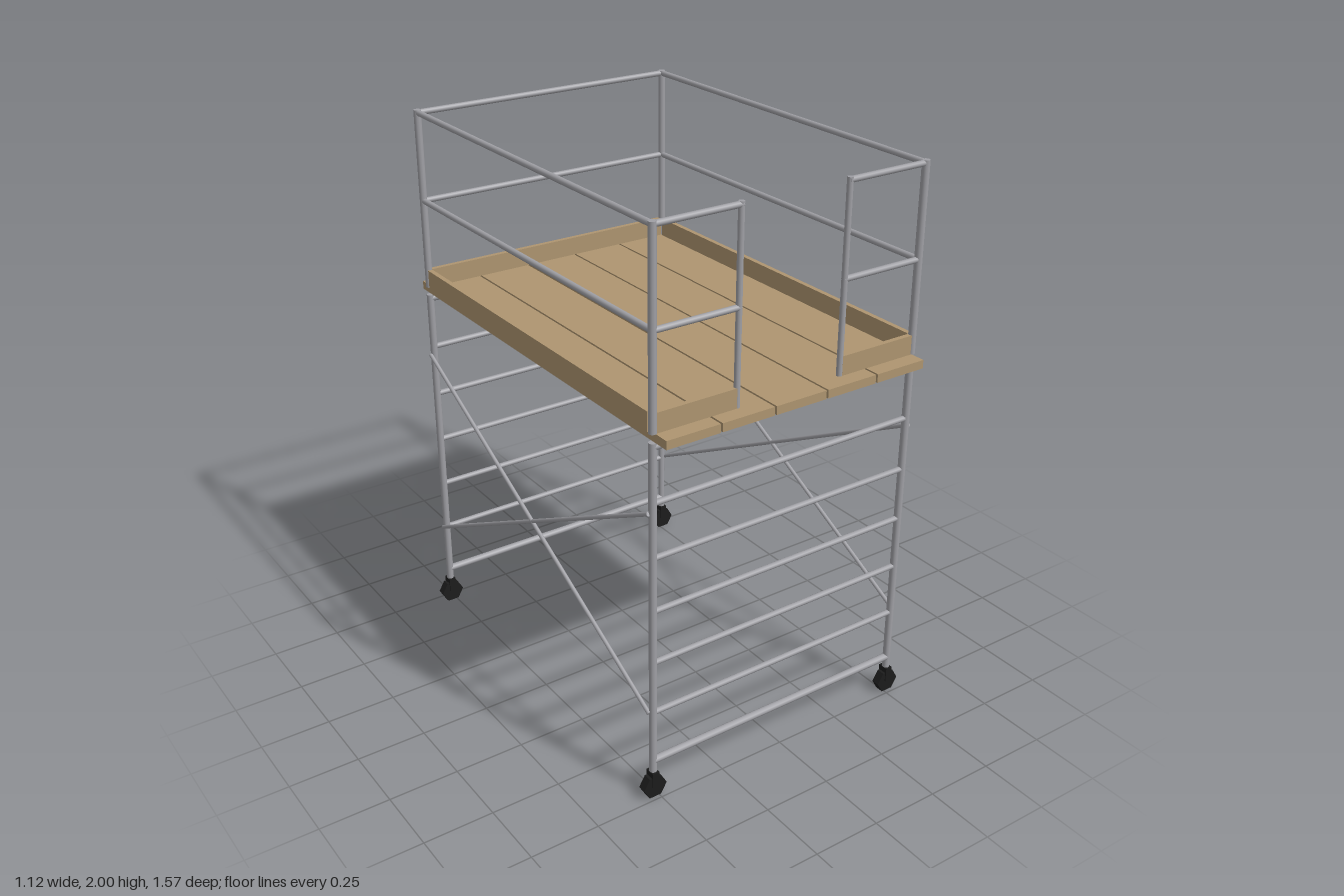
import * as THREE from 'three';

const steel = new THREE.MeshStandardMaterial({ color: 0xa0a0a5 });
steel.name = 'steel';
const wood = new THREE.MeshStandardMaterial({ color: 0xae9570 });
wood.name = 'wood';
const rubber = new THREE.MeshStandardMaterial({ color: 0x1c1c1c, flatShading: true });
rubber.name = 'black rubber';

const X = 0.515, Z = 0.72;          // corner positions of the frame
const DECK = 1.345, TOP = 1.99;     // deck surface and top rail heights

export function createModel() {
  const model = new THREE.Group();
  model.name = 'scaffoldTower';

  const add = (name, geometry, material, x, y, z) => {
    const mesh = new THREE.Mesh(geometry, material);
    mesh.name = name;
    mesh.position.set(x, y, z);
    model.add(mesh);
    return mesh;
  };
  const box = (name, w, h, d, material, x, y, z) =>
    add(name, new THREE.BoxGeometry(w, h, d), material, x, y, z);

  // Straight tube between two points
  const tube = (name, from, to, radius) => {
    const a = new THREE.Vector3(...from), b = new THREE.Vector3(...to);
    const dir = b.clone().sub(a);
    const mid = a.clone().add(b).multiplyScalar(0.5);
    const mesh = add(name, new THREE.CylinderGeometry(radius, radius, dir.length(), 10), steel, mid.x, mid.y, mid.z);
    mesh.quaternion.setFromUnitVectors(new THREE.Vector3(0, 1, 0), dir.normalize());
  };

  for (const sx of [-1, 1]) {
    for (const sz of [-1, 1]) {
      const x = sx * X, z = sz * Z;
      // Legs and corner guard posts
      tube('leg', [x, 0.09, z], [x, 1.315, z], 0.0135);
      tube('guardPost', [x, DECK, z], [x, 2, z], 0.0135);
      // Casters
      const wheel = add('casterWheel', new THREE.CylinderGeometry(0.045, 0.045, 0.03, 6), rubber, x, 0.039, z);
      wheel.rotation.set(Math.PI / 2, Math.PI / 6, 0);
      box('casterFork', 0.026, 0.055, 0.038, rubber, x, 0.07, z);
    }

    // Crossed side braces outside the legs
    for (const s of [-1, 1])
      tube('crossBrace', [sx * 0.53, 0.335, -s * Z], [sx * 0.53, 1.077, s * Z], 0.0075);

    // Side toe board, front entry post and short front toe board
    box('sideToeBoard', 0.018, 0.068, 1.41, wood, sx * X, DECK + 0.034, 0);
    tube('entryPost', [sx * 0.205, DECK, Z], [sx * 0.205, 2, Z], 0.0105);
    box('frontToeBoard', 0.295, 0.068, 0.018, wood, sx * 0.3575, DECK + 0.034, Z);

    // Guard rails on the sides and either side of the entry
    for (const y of [1.672, TOP]) {
      tube('sideRail', [sx * X, y, -Z], [sx * X, y, Z], 0.0105);
      tube('frontRail', [sx * X, y, Z], [sx * 0.2, y, Z], 0.0105);
    }
  }

  // Back guard rails and toe board
  for (const y of [1.672, TOP]) tube('backRail', [-X, y, -Z], [X, y, -Z], 0.0105);
  box('backToeBoard', 1.01, 0.068, 0.018, wood, 0, DECK + 0.034, -Z);

  // Ladder rungs on both ends
  for (const z of [-Z, Z])
    for (let i = 0; i < 7; i++) {
      const y = 0.14 + i * 0.1935;
      tube('rung', [-X, y, z], [X, y, z], i === 0 || i === 6 ? 0.0135 : 0.0105);
    }

  // Deck planks
  for (let i = -2; i <= 2; i++)
    box('deckPlank', 0.198, 0.03, 1.57, wood, i * 0.2055, DECK - 0.015, 0);

  return model;
}
